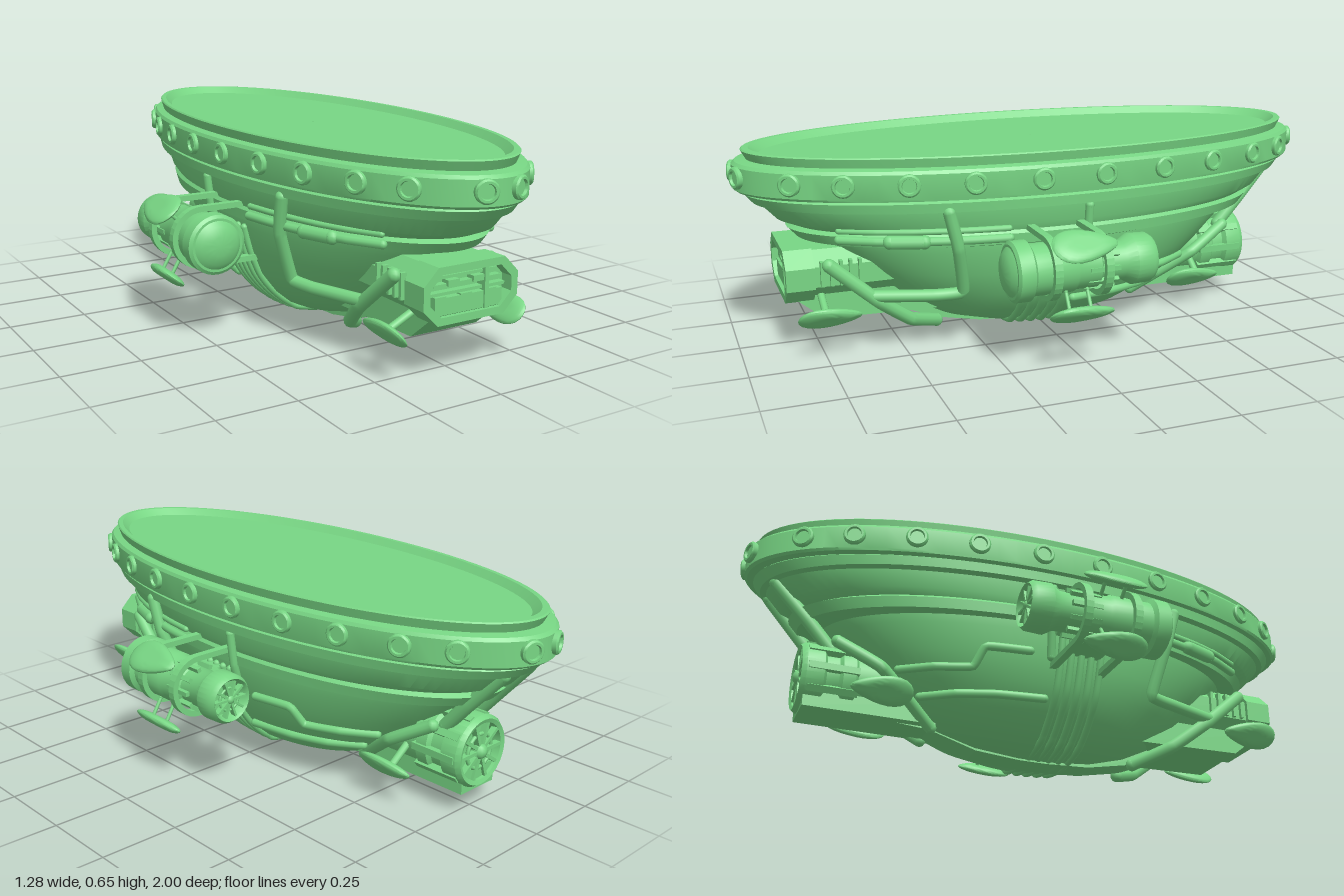
import * as THREE from 'three';
import { toCreasedNormals } from 'three/addons/utils/BufferGeometryUtils.js';

const V = (x, y, z) => new THREE.Vector3(x, y, z);
const material = new THREE.MeshStandardMaterial({ color: 0x78d684, side: THREE.DoubleSide });

// Hull rings: height, half width, half length
const RINGS = [
  [0.005, 0.002, 0.004], [0.006, 0.06, 0.08], [0.02, 0.12, 0.22], [0.055, 0.185, 0.34], [0.1, 0.235, 0.43],
  [0.17, 0.285, 0.54], [0.25, 0.315, 0.63], [0.33, 0.335, 0.71], [0.355, 0.338, 0.73], [0.362, 0.355, 0.8],
  [0.395, 0.358, 0.83], [0.405, 0.35, 0.81], [0.425, 0.358, 0.86], [0.478, 0.365, 0.91], [0.482, 0.388, 0.93],
  [0.512, 0.39, 0.955], [0.518, 0.38, 0.95], [0.522, 0.396, 0.975], [0.53, 0.398, 0.985], [0.605, 0.398, 0.985],
  [0.615, 0.392, 0.975], [0.62, 0.368, 0.94], [0.648, 0.374, 0.955], [0.652, 0.37, 0.95], [0.652, 0.355, 0.93],
  [0.63, 0.335, 0.9], [0.63, 0.002, 0.004],
];

// Half width of the hull at a given height and z
function hullX(y, z) {
  let i = 1;
  while (i < 15 && RINGS[i][0] < y) i++;
  const a = RINGS[i - 1], b = RINGS[i], t = (y - a[0]) / (b[0] - a[0]);
  const rx = a[1] + (b[1] - a[1]) * t, rz = a[2] + (b[2] - a[2]) * t;
  return rx * Math.sqrt(Math.max(0, 1 - (z / rz) ** 2));
}

function add(parent, name, geometry, x = 0, y = 0, z = 0) {
  const mesh = new THREE.Mesh(geometry, material);
  mesh.name = name;
  mesh.position.set(x, y, z);
  parent.add(mesh);
  return mesh;
}

const box = (w, h, d) => new THREE.BoxGeometry(w, h, d);

// Straight-run pipe through points, with softened bends
function pipe(parent, name, points, r, tension = 0.15) {
  const curve = new THREE.CatmullRomCurve3(points, false, 'catmullrom', tension);
  add(parent, name, new THREE.TubeGeometry(curve, points.length * 8, r, 10));
  for (const p of [points[0], points[points.length - 1]]) add(parent, name + 'End', new THREE.SphereGeometry(r, 10, 8), p.x, p.y, p.z);
}

// Round body along z from [radius, z] pairs, listed back to front
function turned(profile, segments = 32) {
  const g = new THREE.LatheGeometry(profile.map(([r, z]) => new THREE.Vector2(r, z)), segments);
  return toCreasedNormals(g.rotateX(Math.PI / 2), 0.6);
}

// Spoked exhaust grille facing -z
function grille(parent, r, z) {
  const g = new THREE.Group();
  g.name = 'exhaustGrille';
  g.position.z = z;
  for (let i = 0; i < 5; i++) add(g, 'spoke', box(r * 2, r * 0.12, 0.02)).rotation.z = i * Math.PI / 5;
  add(g, 'grilleRing', new THREE.TorusGeometry(r * 0.6, r * 0.07, 8, 24));
  add(g, 'grilleHub', new THREE.SphereGeometry(r * 0.28, 12, 8));
  parent.add(g);
}

// Thin teardrop paddle, blunt toward +z
function paddle(parent, name, width, length, x, y, z, tilt) {
  const g = new THREE.SphereGeometry(1, 24, 16), p = g.attributes.position;
  for (let i = 0; i < p.count; i++) {
    const k = 0.72 + 0.28 * p.getZ(i);
    p.setXYZ(i, p.getX(i) * k * width, Math.max(-0.8, Math.min(0.8, p.getY(i))) * 0.018, p.getZ(i) * length);
  }
  add(parent, name, toCreasedNormals(g, 0.7), x, y, z).rotation.z = tilt;
}

function octagon(w, h, c) {
  return [[-w + c, -h], [w - c, -h], [w, -h + c], [w, h - c], [w - c, h], [-w + c, h], [-w, h - c], [-w, -h + c]]
    .map(([x, y]) => new THREE.Vector2(x, y));
}

function extrude(points, depth, hole) {
  const shape = new THREE.Shape(points);
  if (hole) shape.holes.push(new THREE.Path(hole));
  return new THREE.ExtrudeGeometry(shape, { depth, bevelEnabled: false });
}

function buildHull(root) {
  const n = 96;
  const g = new THREE.LatheGeometry(RINGS.map(([y, rx]) => new THREE.Vector2(rx, y)), n);
  const p = g.attributes.position;
  for (let i = 0; i < p.count; i++) {
    const [, rx, rz] = RINGS[i % RINGS.length];
    p.setZ(i, p.getZ(i) * rz / rx);
  }
  add(root, 'hull', toCreasedNormals(g, 0.5));

  // Portholes all round the rim
  for (const z0 of [0.975, 0.84, 0.695, 0.51, 0.315, 0.104])
    for (const sx of [-1, 1]) for (const sz of [-1, 1]) {
      const z = z0 * sz, x = sx * 0.398 * Math.sqrt(1 - (z / 0.985) ** 2);
      const port = new THREE.Group();
      port.name = 'porthole';
      port.position.set(x, 0.573, z);
      port.rotation.y = Math.atan2(x / 0.398 ** 2, z / 0.985 ** 2);
      add(port, 'portFrame', turned([[0.035, -0.02], [0.035, 0.009], [0.03, 0.014], [0.023, 0.014], [0.021, 0.006], [0, 0.006]], 20));
      root.add(port);
    }

  // Rib bands wrapped under the belly
  for (const z of [0.125, 0.09, 0.055, 0.02, -0.015]) {
    const pts = [];
    for (let i = -8; i <= 8; i++) {
      const y = 0.02 + 0.31 * (Math.abs(i) / 8) ** 1.7;
      pts.push(V(Math.sign(i) * (hullX(y, z) + 0.004), i === 0 ? 0.012 : y, z));
    }
    pipe(root, 'bellyRib', pts, 0.012, 0.5);
  }
  // Keel strip following the belly
  const keel = [[0.5, 0.1], [0.36, 0.04], [0.2, 0.008], [0.05, 0], [-0.05, 0], [-0.2, 0.012], [-0.36, 0.06], [-0.5, 0.07],
    [-0.5, 0.16], [0.5, 0.16]].map(([z, y]) => new THREE.Vector2(-z, y));
  add(root, 'keel', extrude(keel, 0.09).rotateY(Math.PI / 2), -0.045, 0, 0);
}

function buildIntake(root) {
  const g = new THREE.Group();
  g.name = 'frontIntake';
  root.add(g);
  add(g, 'intakeHousing', extrude(octagon(0.155, 0.078, 0.045), 0.4), 0, 0.26, 0.42);
  add(g, 'intakeFrame', extrude(octagon(0.168, 0.085, 0.05), 0.09, octagon(0.145, 0.062, 0.04)), 0, 0.26, 0.772);
  const chin = [[0.85, 0.2], [0.74, 0.11], [0.36, 0.1], [0.36, 0.25], [0.85, 0.25]].map(([z, y]) => new THREE.Vector2(-z, y));
  add(g, 'chin', extrude(chin, 0.24).rotateY(Math.PI / 2), -0.12, 0, 0);
  // Machinery inside the opening
  for (let i = 0; i < 5; i++) {
    add(g, 'intakeBar', box(0.27 - 0.03 * Math.abs(i - 2), 0.009, 0.025), 0, 0.212 + i * 0.024, 0.83);
    add(g, 'intakeBlock', box(0.04, 0.018, 0.03), -0.1 + i * 0.045, i % 2 ? 0.29 : 0.245, 0.835);
  }
  add(g, 'intakeDivider', box(0.014, 0.125, 0.04), 0.06, 0.26, 0.835);
  for (const s of [-1, 1]) {
    for (let i = 0; i < 5; i++) add(g, 'sideLouvre', box(0.02, 0.08, 0.01), s * 0.158, 0.27, 0.75 - i * 0.03);
    paddle(g, 'frontPaddle', 0.064, 0.1, s * 0.215, 0.145, 0.74, s * 0.87);
    pipe(g, 'paddleStalk', [V(s * 0.1, 0.2, 0.75), V(s * 0.21, 0.147, 0.75)], 0.012);
    pipe(g, 'intakeStrut', [V(s * 0.175, 0.3, 0.73), V(s * 0.19, 0.17, 0.58), V(s * 0.15, 0.085, 0.47), V(s * 0.06, 0.035, 0.36)], 0.022);
  }
}

function buildRearEngine(root) {
  const g = new THREE.Group();
  g.name = 'rearEngine';
  g.position.y = 0.19;
  root.add(g);
  add(g, 'rearNacelle', turned([[0, -0.75], [0.088, -0.75], [0.092, -0.785], [0.105, -0.79], [0.115, -0.775], [0.115, -0.72],
    [0.1, -0.71], [0.1, -0.67], [0.112, -0.66], [0.112, -0.62], [0.1, -0.61], [0.1, -0.4], [0, -0.4]]));
  grille(g, 0.092, -0.775);
  for (let i = 0; i < 10; i++) {
    const a = i * Math.PI / 5;
    add(g, 'nacelleRib', box(0.022, 0.022, 0.16), 0.108 * Math.cos(a), 0.108 * Math.sin(a), -0.69).rotation.z = a;
  }
  add(g, 'rearSkid', box(0.15, 0.07, 0.43), 0, -0.087, -0.56);
  for (const s of [-1, 1]) {
    paddle(g, 'rearPaddle', 0.064, 0.1, s * 0.17, -0.075, -0.55, s * 0.87);
    pipe(g, 'rearPaddleStalk', [V(s * 0.07, 0, -0.57), V(s * 0.17, -0.075, -0.57)], 0.012);
    pipe(g, 'rearStrut', [V(s * 0.12, 0.09, -0.69), V(s * 0.15, 0.01, -0.55), V(s * 0.06, -0.13, -0.36)], 0.02);
    pipe(g, 'rimBrace', [V(s * 0.06, 0.29, -0.89), V(s * 0.07, 0.17, -0.78), V(s * 0.07, 0.08, -0.7)], 0.022);
  }
}

function buildPod(root, s) {
  const g = new THREE.Group();
  g.name = s > 0 ? 'leftPod' : 'rightPod';
  g.position.set(s * 0.49, 0.32, 0);
  root.add(g);
  add(g, 'podBody', turned([[0, -0.17], [0.056, -0.17], [0.06, -0.2], [0.068, -0.21], [0.078, -0.195], [0.08, -0.14], [0.062, -0.11],
    [0.06, -0.03], [0.074, -0.02], [0.074, 0.05], [0.08, 0.06], [0.08, 0.19], [0.094, 0.2], [0.094, 0.245], [0.084, 0.252],
    [0.076, 0.252], [0.06, 0.265], [0.03, 0.273], [0, 0.275]]));
  grille(g, 0.06, -0.195);
  for (let i = 0; i < 10; i++) {
    const a = i * Math.PI / 5;
    add(g, 'podRib', box(0.014, 0.014, 0.1), 0.07 * Math.cos(a), 0.07 * Math.sin(a), -0.03).rotation.z = a;
  }
  // Strap loops carrying the pod out from the hull
  for (const z of [-0.035, 0.13]) {
    const outline = (r, inner) => {
      const pts = [new THREE.Vector2(-s * inner, r)];
      for (let i = 0; i <= 16; i++) {
        const a = Math.PI / 2 - i * Math.PI / 16;
        pts.push(new THREE.Vector2(s * Math.cos(a) * r, Math.sin(a) * r));
      }
      pts.push(new THREE.Vector2(-s * inner, -r));
      return pts;
    };
    add(g, 'podStrap', extrude(outline(0.1, 0.2), 0.025, outline(0.082, 0.19)), 0, 0, z - 0.0125);
  }
  add(g, 'podArm', box(0.17, 0.06, 0.1), -s * 0.12, -0.02, 0.07);
  // Paired steering paddles
  for (const [x, y, tilt, w] of [[0.1, 0.09, -0.67, 0.078], [0.088, -0.127, 0.7, 0.06]]) {
    paddle(g, 'podPaddle', w, 0.105, s * x, y, 0.05, s * tilt);
    for (const z of [0.02, 0.09]) pipe(g, 'paddleStalk', [V(s * 0.05, y * 0.5, z), V(s * x, y, z)], 0.006);
  }
}

function buildPipes(root, s) {
  const along = (name, pairs, r, gap = r * 0.6) =>
    pipe(root, name, pairs.map(([z, y]) => V(s * (hullX(y, z) + gap), y, z)), r);
  pipe(root, 'downPipe', [V(s * 0.345, 0.48, 0.39), V(s * 0.335, 0.36, 0.36), V(s * 0.275, 0.2, 0.33),
    V(s * 0.25, 0.19, 0.42), V(s * 0.19, 0.19, 0.6)], 0.02);
  for (const [y, r] of [[0.385, 0.014], [0.415, 0.01]])
    along('upperConduit', [0.7, 0.6, 0.5, 0.4, 0.3, 0.2].map(z => [z, y]), r);
  along('conduitSleeve', [[0.56, 0.385], [0.46, 0.385]], 0.022);
  along('rearPipe', [[-0.12, 0.26], [-0.26, 0.26], [-0.29, 0.2], [-0.4, 0.2], [-0.5, 0.2]], 0.014);
  along('lowerPipe', [[-0.05, 0.13], [-0.2, 0.13], [-0.32, 0.13], [-0.42, 0.13]], 0.014);
  along('hullStay', [[-0.06, 0.47], [-0.06, 0.36], [-0.05, 0.25]], 0.014);
}

export function createModel() {
  const root = new THREE.Group();
  root.name = 'ovalCraft';
  buildHull(root);
  buildIntake(root);
  buildRearEngine(root);
  for (const s of [-1, 1]) {
    buildPod(root, s);
    buildPipes(root, s);
  }
  return root;
}
